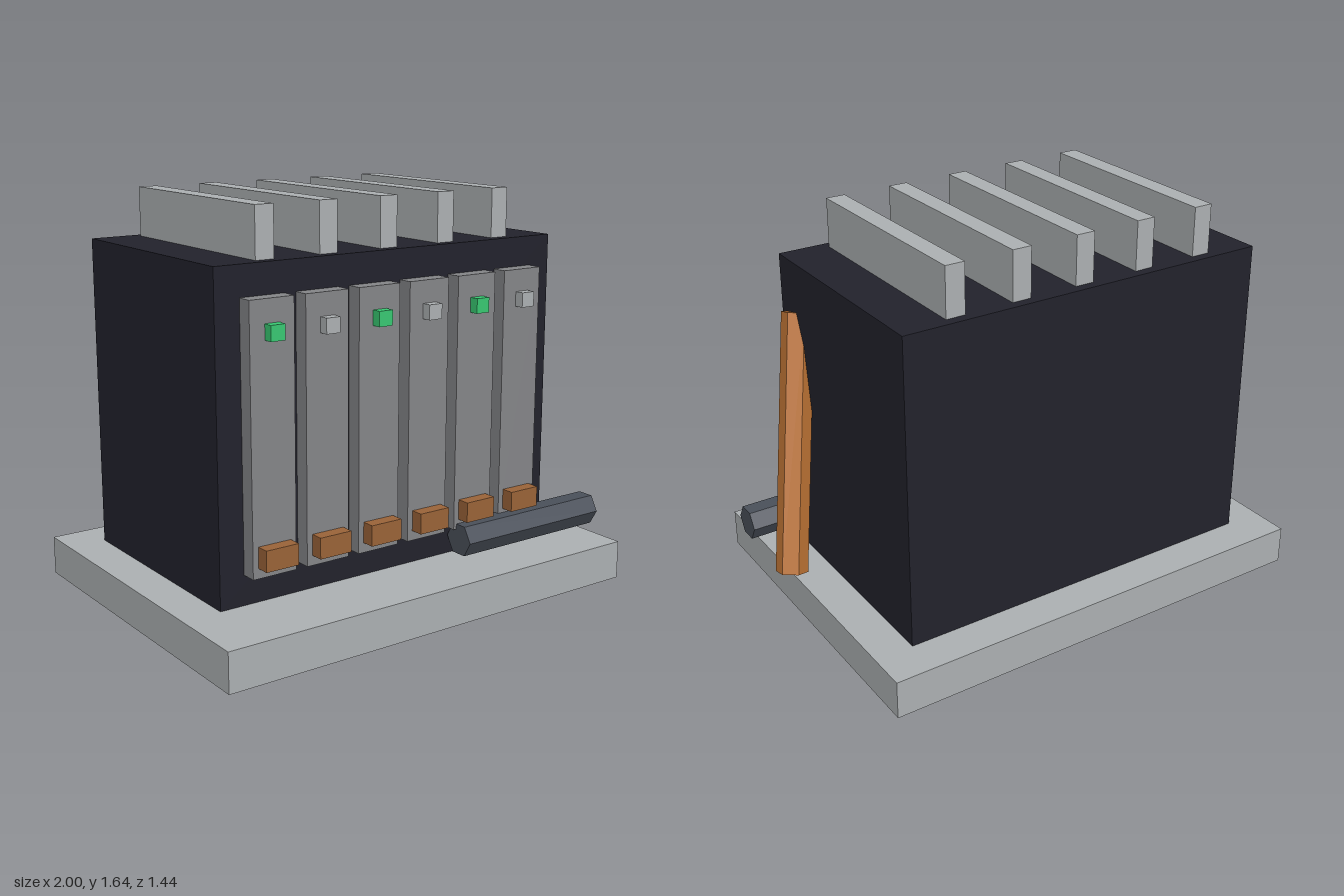
import * as THREE from 'three';

const mat = (name, color) => {
  const m = new THREE.MeshStandardMaterial({ color, flatShading: true });
  m.name = name;
  return m;
};

export function createModel() {
  const lightGrey = mat('light grey', 0xacb0b2);
  const midGrey = mat('mid grey', 0x848588);
  const darkBody = mat('near black', 0x22222c);
  const green = mat('green', 0x38c872);
  const copper = mat('copper', 0xb87033);
  const brown = mat('dull copper', 0x9a6338);
  const slate = mat('slate', 0x4a505a);

  const model = new THREE.Group();
  model.name = 'equipmentCabinet';
  const add = (name, geometry, material, x, y, z) => {
    const mesh = new THREE.Mesh(geometry, material);
    mesh.name = name;
    mesh.position.set(x, y, z);
    model.add(mesh);
    return mesh;
  };
  // Box given by its centre x, width and its y and z ranges
  const box = (name, material, x, w, y0, y1, z0, z1) =>
    add(name, new THREE.BoxGeometry(w, y1 - y0, z1 - z0), material, x, (y0 + y1) / 2, (z0 + z1) / 2);

  const cx = -0.0425; // cabinet centre line

  // Plinth and cabinet
  box('base', lightGrey, cx, 1.915, 0, 0.16, -0.72, 0.72);
  box('cabinet', darkBody, cx, 1.596, 0.16, 1.44, -0.56, 0.4);

  // Cooling fins on the roof
  for (let i = -2; i <= 2; i++) {
    box('roofFin', lightGrey, cx + i * 0.28, 0.08, 1.44, 1.64, -0.52, 0.36);
  }

  // Front modules, each with an indicator and a handle
  for (let i = 0; i < 6; i++) {
    const x = cx + (i - 2.5) * 0.2395;
    box('modulePanel', midGrey, x, 0.19, 0.28, 1.32, 0.4, 0.464);
    box('indicator', i % 2 ? lightGrey : green, x, 0.062, 1.17, 1.23, 0.464, 0.504);
    box('handle', brown, x, 0.142, 0.32, 0.404, 0.464, 0.518);
  }

  // Loose six-sided bar lying in front
  const bar = add('lyingBar', new THREE.CylinderGeometry(0.0715, 0.0715, 0.72, 6), slate, 0.595, 0.241, 0.48);
  bar.rotation.z = Math.PI / 2;

  // Six-sided rod leaning on the left side
  const rod = add('leaningRod', new THREE.CylinderGeometry(0.065, 0.065, 1.05, 6), copper, 0.838, 0.717, 0.195);
  rod.rotation.set(0.25, 0, 0.21);

  return model;
}
